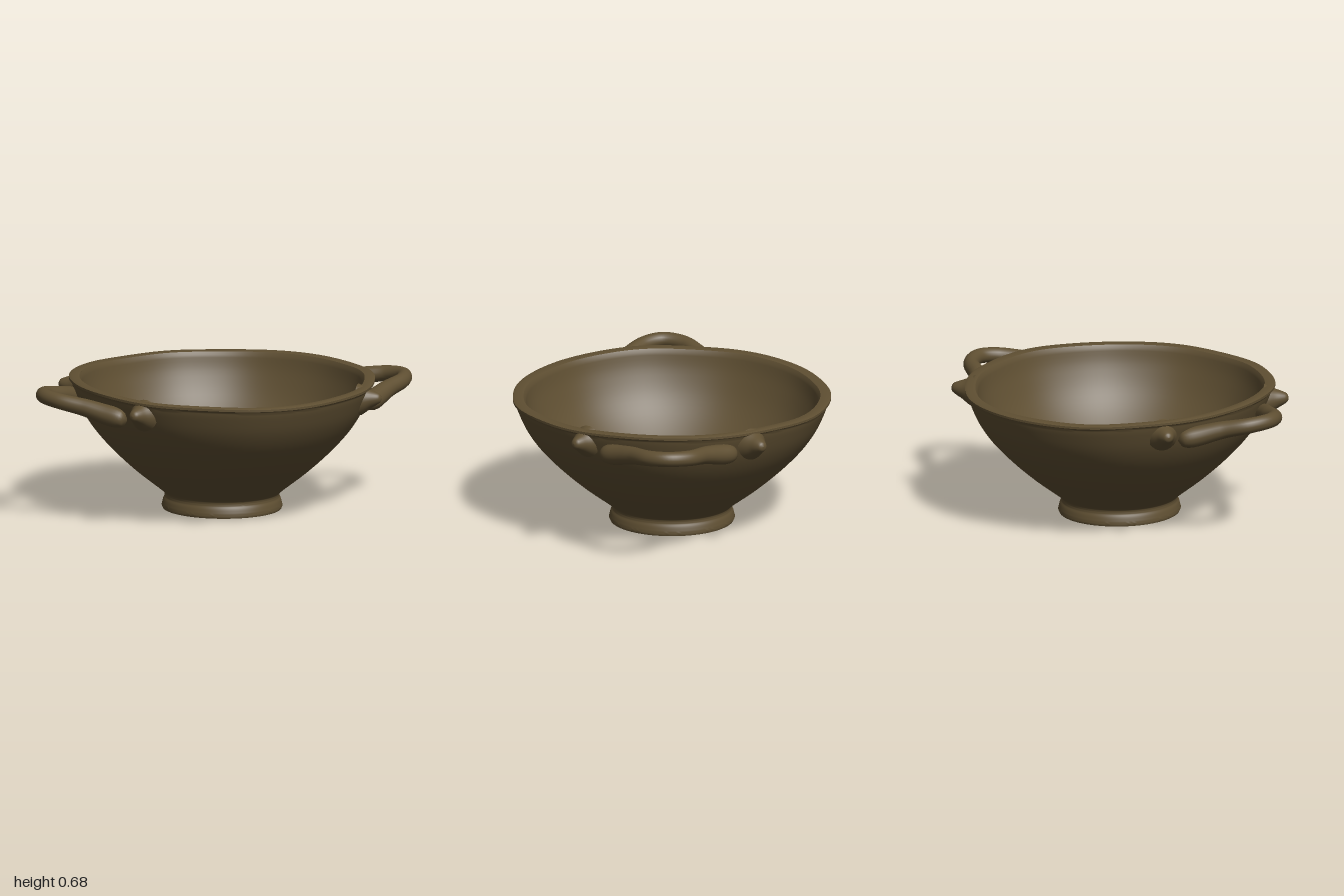
import * as THREE from 'three';
import { mergeVertices, toCreasedNormals } from 'three/addons/utils/BufferGeometryUtils.js';

const clay = new THREE.MeshStandardMaterial({ color: 0x5f4f32 });
clay.name = 'brown clay';

const v2 = (list) => list.map(([x, y]) => new THREE.Vector2(x, y));
const smooth = (list, n) => new THREE.SplineCurve(v2(list)).getPoints(n);

// Move every vertex by a rule, then weld seams and recompute normals
function reshape(geometry, rule) {
  const pos = geometry.attributes.position;
  const p = new THREE.Vector3();
  for (let i = 0; i < pos.count; i++) {
    p.fromBufferAttribute(pos, i);
    rule(p, i);
    pos.setXYZ(i, p.x, p.y, p.z);
  }
  geometry.deleteAttribute('normal');
  geometry.deleteAttribute('uv');
  const welded = mergeVertices(geometry, 1e-5);
  welded.computeVertexNormals();
  return welded;
}

function part(name, geometry) {
  const mesh = new THREE.Mesh(geometry, clay);
  mesh.name = name;
  return mesh;
}

// Foot, outer wall, rim and inside as one slightly oval, hand-made turning
function bowlGeometry() {
  const profile = [
    ...v2([[0, 0.005], [0.28, 0.004], [0.31, 0]]),
    ...smooth([[0.316, 0.014], [0.308, 0.045], [0.3, 0.068], [0.318, 0.095], [0.45, 0.195],
      [0.57, 0.3], [0.67, 0.405], [0.735, 0.5], [0.775, 0.59], [0.787, 0.628]], 36),
    ...v2([[0.799, 0.637], [0.799, 0.648], [0.785, 0.654], [0.745, 0.65]]),
    ...smooth([[0.735, 0.635], [0.71, 0.55], [0.65, 0.43], [0.56, 0.32], [0.43, 0.21],
      [0.28, 0.135], [0.12, 0.1], [0, 0.095]], 30),
  ];
  const geometry = reshape(new THREE.LatheGeometry(profile, 128), (p) => {
    const a = Math.atan2(p.z, p.x);
    const up = p.y / 0.65;
    const wobble = 1 + 0.004 * up * up * (Math.sin(5 * a + 1) + 0.6 * Math.sin(11 * a));
    p.x *= 0.955 * wobble;
    p.z *= wobble;
    // The rim rises gently towards the handles
    p.y += up * up * (0.03 * p.x * p.x - 0.004 * p.x + 0.002 * Math.sin(7 * a) * up);
  });
  return toCreasedNormals(geometry, 0.7);
}

// Loop handle, thicker towards its rounded ends, which sink into the wall
function handleGeometry(side, lift) {
  const path = new THREE.CatmullRomCurve3([
    [0.655, 0.55, -0.31], [0.72, 0.565, -0.235], [0.81, 0.59, -0.155], [0.92, 0.61, -0.075],
    [0.96, 0.617, 0.03], [0.92, 0.61, 0.125], [0.81, 0.59, 0.21], [0.72, 0.565, 0.285],
    [0.645, 0.55, 0.36],
  ].map(([x, y, z]) => new THREE.Vector3(side * x, y + lift * (x - 0.6) / 0.36, z)));
  const rings = 64, sides = 20;
  return reshape(new THREE.TubeGeometry(path, rings, 1, sides), (p, i) => {
    const t = Math.floor(i / (sides + 1)) / rings;
    const e = Math.abs(2 * t - 1);
    const radius = (0.038 + 0.024 * e * e) * Math.sqrt(Math.max(0, 1 - e ** 12));
    const centre = path.getPointAt(t);
    p.sub(centre).multiplyScalar(radius).add(centre);
  });
}

// Small pointed lug below the rim, reaching outwards to its tip
function lug(name, x, z) {
  const points = smooth([[0.08, 0], [0.066, 0.025], [0.048, 0.055], [0.034, 0.085],
    [0.02, 0.107], [0, 0.114]], 16);
  const mesh = part(name, new THREE.LatheGeometry(points, 24));
  const out = new THREE.Vector3(x, 0, z);
  const reach = out.length();
  out.normalize();
  mesh.position.copy(out).multiplyScalar(reach - 0.112).setY(0.59);
  out.y = 0.12;
  mesh.quaternion.setFromUnitVectors(new THREE.Vector3(0, 1, 0), out.normalize());
  return mesh;
}

export function createModel() {
  const model = new THREE.Group();
  model.name = 'twoHandledBowl';
  model.add(part('bowl', bowlGeometry()));
  model.add(part('leftHandle', handleGeometry(1, -0.002)));
  model.add(part('rightHandle', handleGeometry(-1, 0.02)));
  model.add(lug('backLeftLug', 0.725, -0.45));
  model.add(lug('frontLeftLug', 0.665, 0.5));
  model.add(lug('backRightLug', -0.71, -0.44));
  model.add(lug('frontRightLug', -0.675, 0.515));
  return model;
}
